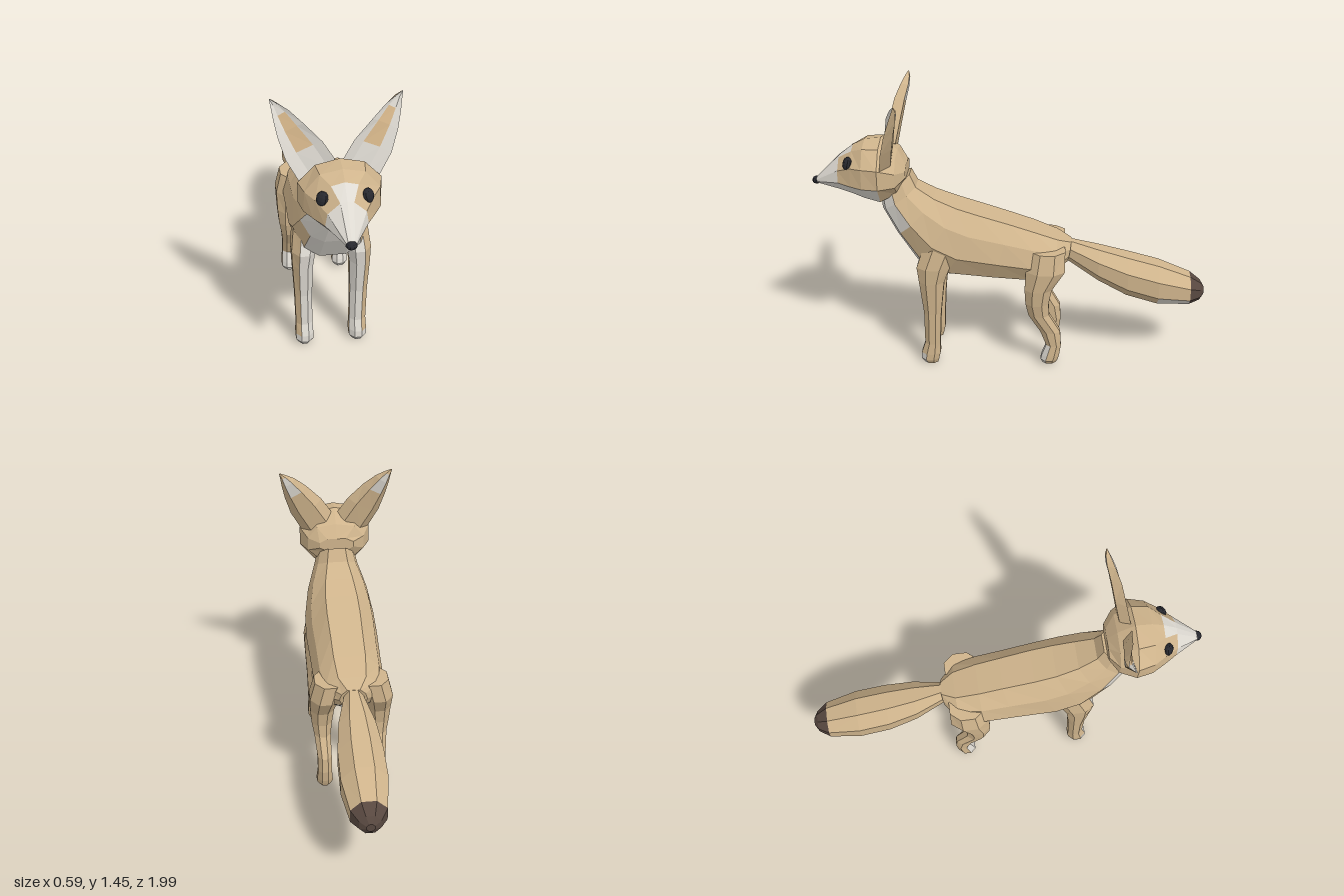
import * as THREE from 'three';

const flat = (name, color) => {
  const m = new THREE.MeshStandardMaterial({ color, flatShading: true });
  m.name = name;
  return m;
};

export function createModel() {
  const fur = flat('sandFur', 0xcfb48c);
  const cream = flat('creamFur', 0xdedad2);
  const earPink = flat('innerEar', 0xd6b68a);
  const brown = flat('tailTipBrown', 0x584840);
  const black = flat('eyeBlack', 0x27282e);
  const model = new THREE.Group();
  model.name = 'fox';

  // Skin a list of closed rings; paint(row, side) picks the colour of each quad
  function loft(name, rings, paint) {
    const n = rings[0].length, buckets = new Map();
    let volume = 0;
    const tri = (mat, a, b, c) => {
      if (!buckets.has(mat)) buckets.set(mat, []);
      buckets.get(mat).push([a, b, c]);
      volume += a.dot(b.clone().cross(c));
    };
    const middle = r => r.reduce((s, p) => s.add(p), new THREE.Vector3()).divideScalar(n);
    const last = rings.length - 1, start = middle(rings[0]), end = middle(rings[last]);
    for (let j = 0; j < n; j++) {
      const k = (j + 1) % n;
      for (let i = 0; i < last; i++) {
        const m = paint(i, j), [a, b, c, d] = [rings[i][j], rings[i][k], rings[i + 1][k], rings[i + 1][j]];
        tri(m, a, b, c);
        tri(m, a, c, d);
      }
      tri(paint(0, j), start, rings[0][k], rings[0][j]);
      tri(paint(last - 1, j), end, rings[last][j], rings[last][k]);
    }
    const geo = new THREE.BufferGeometry(), points = [], mats = [...buckets.keys()];
    mats.forEach((m, g) => {
      const from = points.length;
      for (const [a, b, c] of buckets.get(m)) points.push(...(volume > 0 ? [a, b, c] : [a, c, b]));
      geo.addGroup(from, points.length - from, g);
    });
    geo.setFromPoints(points);
    geo.computeVertexNormals();
    const mesh = new THREE.Mesh(geo, mats);
    mesh.name = name;
    model.add(mesh);
  }

  const V = (x, y, z) => new THREE.Vector3(x, y, z);
  // Complete a half ring with its mirror image
  const mirrorRing = half => [...half, ...half.slice().reverse().map(p => V(-p.x, p.y, p.z))];
  const turn = (j, n) => ((j + 0.5) / n) * Math.PI * 2;

  // Body: slanted sections as [top z, top y, bottom z, bottom y, half width]
  const section = [[0.45, 0], [0.85, 0.25], [1, 0.58], [0.75, 0.88], [0.35, 1]];
  const bodyRings = [
    [0.50, 1.02, 0.65, 0.92, 0.10], [0.47, 0.955, 0.64, 0.84, 0.12],
    [0.38, 0.90, 0.57, 0.71, 0.16], [0.27, 0.855, 0.47, 0.56, 0.185],
    [0.16, 0.82, 0.34, 0.485, 0.19], [0.0, 0.77, 0.10, 0.465, 0.182],
    [-0.12, 0.73, -0.10, 0.455, 0.178], [-0.24, 0.685, -0.22, 0.50, 0.155],
    [-0.31, 0.655, -0.29, 0.545, 0.07],
  ].map(([tz, ty, bz, by, w]) => mirrorRing(section.map(([x, t]) =>
    V(x * w, ty + (by - ty) * t, tz + (bz - tz) * t))));
  loft('body', bodyRings, (i, j) =>
    (j >= 3 && j <= 5) || (i < 2 && (j === 2 || j === 6)) ? cream : fur);

  // Head: half sections from the snout to the nape, top to bottom
  const headRings = [
    [0.97, [0, 0.985], [0.015, 0.983], [0.022, 0.975], [0.022, 0.965], [0.015, 0.958], [0, 0.955]],
    [0.85, [0, 1.105], [0.03, 1.10], [0.085, 1.05], [0.095, 0.99], [0.05, 0.94], [0, 0.935]],
    [0.78, [0, 1.16], [0.06, 1.145], [0.13, 1.08], [0.138, 0.988], [0.07, 0.925], [0, 0.92]],
    [0.72, [0, 1.19], [0.10, 1.17], [0.168, 1.088], [0.172, 0.988], [0.09, 0.91], [0, 0.91]],
    [0.64, [0, 1.197], [0.11, 1.172], [0.188, 1.09], [0.188, 0.99], [0.11, 0.897], [0, 0.90]],
    [0.56, [0, 1.135], [0.10, 1.12], [0.15, 1.06], [0.15, 0.99], [0.09, 0.935], [0, 0.93]],
    [0.515, [0, 1.07], [0.05, 1.07], [0.09, 1.05], [0.09, 1.02], [0.05, 1.0], [0, 0.99]],
  ].map(([z, ...half]) => [
    ...half.map(([x, y]) => V(x, y, z)),
    ...half.slice(1, -1).reverse().map(([x, y]) => V(-x, y, z))]);
  loft('head', headRings, (i, j) => {
    const s = Math.min(j, 9 - j);
    if (i === 0) return cream;
    if (i === 1 && s === 0) return cream;
    return s >= 3 && i < 4 ? cream : fur;
  });

  // Nose
  const ball = (name, r, sx, sy, sz, x, y, z) => {
    const m = new THREE.Mesh(new THREE.SphereGeometry(r, 10, 7), black);
    m.name = name;
    m.scale.set(sx, sy, sz);
    m.position.set(x, y, z);
    model.add(m);
    return m;
  };
  ball('nose', 0.026, 1, 0.75, 0.9, 0, 0.967, 0.973);

  // Tail: [z, centre y, half width, half height]
  const tailRings = [
    [-0.25, 0.61, 0.03, 0.04], [-0.31, 0.595, 0.05, 0.06], [-0.45, 0.53, 0.092, 0.088],
    [-0.60, 0.47, 0.112, 0.108], [-0.76, 0.425, 0.114, 0.11], [-0.925, 0.39, 0.088, 0.08],
    [-0.98, 0.38, 0.052, 0.05], [-1.0, 0.378, 0.02, 0.02],
  ].map(([z, y, rx, ry]) => Array.from({ length: 8 }, (_, j) =>
    V(Math.cos(turn(j, 8)) * rx * 1.06, y + Math.sin(turn(j, 8)) * ry * 1.06, z)));
  loft('tail', tailRings, (i, j) => {
    if (i >= 5) return brown;
    return j === 5 || (i > 0 && j >= 4 && j <= 6 && i === 4) ? cream : fur;
  });

  // Legs: [centre x, y, centre z, half width, half depth], from hip to sole
  const frontLeg = [
    [0.12, 0.68, 0.34, 0.06, 0.09], [0.135, 0.56, 0.385, 0.06, 0.085], [0.14, 0.48, 0.395, 0.052, 0.065],
    [0.138, 0.30, 0.395, 0.044, 0.045], [0.135, 0.12, 0.40, 0.042, 0.04], [0.135, 0.06, 0.41, 0.045, 0.05],
    [0.135, 0.025, 0.415, 0.044, 0.047], [0.135, 0, 0.41, 0.03, 0.035]];
  const hindLeg = [
    [0.11, 0.65, -0.19, 0.075, 0.09], [0.135, 0.55, -0.18, 0.075, 0.10], [0.145, 0.45, -0.145, 0.062, 0.07],
    [0.147, 0.37, -0.14, 0.053, 0.06], [0.145, 0.30, -0.15, 0.043, 0.054], [0.14, 0.20, -0.21, 0.037, 0.052],
    [0.14, 0.12, -0.228, 0.036, 0.039], [0.14, 0.06, -0.213, 0.041, 0.046], [0.14, 0.035, -0.206, 0.042, 0.045],
    [0.14, 0.015, -0.206, 0.03, 0.035]];
  const legRings = (list, side) => list.map(([x, y, z, rx, rz]) => Array.from({ length: 8 }, (_, j) =>
    V(side * (x + Math.cos(turn(j, 8)) * rx * 1.06), y, z + Math.sin(turn(j, 8)) * rz * 1.06)));

  // Ears: inner and outer edge points from base to tip
  const innerEdge = [[0.01, 1.17, 0.625], [0.07, 1.265, 0.605], [0.15, 1.35, 0.585], [0.21, 1.405, 0.56],
    [0.25, 1.43, 0.545], [0.289, 1.45, 0.53]].map(p => V(...p));
  const outerEdge = [[0.17, 1.07, 0.63], [0.235, 1.19, 0.61], [0.265, 1.29, 0.585], [0.28, 1.365, 0.56],
    [0.288, 1.42, 0.54], [0.293, 1.448, 0.53]].map(p => V(...p));
  const cup = [[0, 0], [0.25, -0.012], [0.7, -0.014], [1, 0], [0.75, -0.045], [0.25, -0.045]];
  const earRings = side => innerEdge.map((p, i) => cup.map(([s, dz]) => {
    const q = p.clone().lerp(outerEdge[i], s);
    q.z += dz * [1.1, 1.1, 1, 0.8, 0.5, 0.1][i];
    q.x *= side;
    return q;
  }));

  for (const [side, label] of [[1, 'left'], [-1, 'right']]) {
    loft(label + 'FrontLeg', legRings(frontLeg, side), (i, j) =>
      j === 1 || j === 2 || j === 0 && i >= 5 ? cream : fur);
    loft(label + 'HindLeg', legRings(hindLeg, side), (i, j) =>
      (i >= 6 && j <= 2) || (i < 4 && j === 3) ? cream : fur);
    loft(label + 'Ear', earRings(side), (i, j) => {
      if (j === 1 && (i === 1 || i === 2)) return earPink;
      return j < 3 || (j === 4 && (i === 2 || i === 3)) ? cream : fur;
    });
    ball(label + 'Eye', 0.034, 0.85, 1, 0.6, side * 0.1, 1.095, 0.795).rotation.set(-0.4, side * 0.6, -side * -0.3);
  }
  return model;
}
